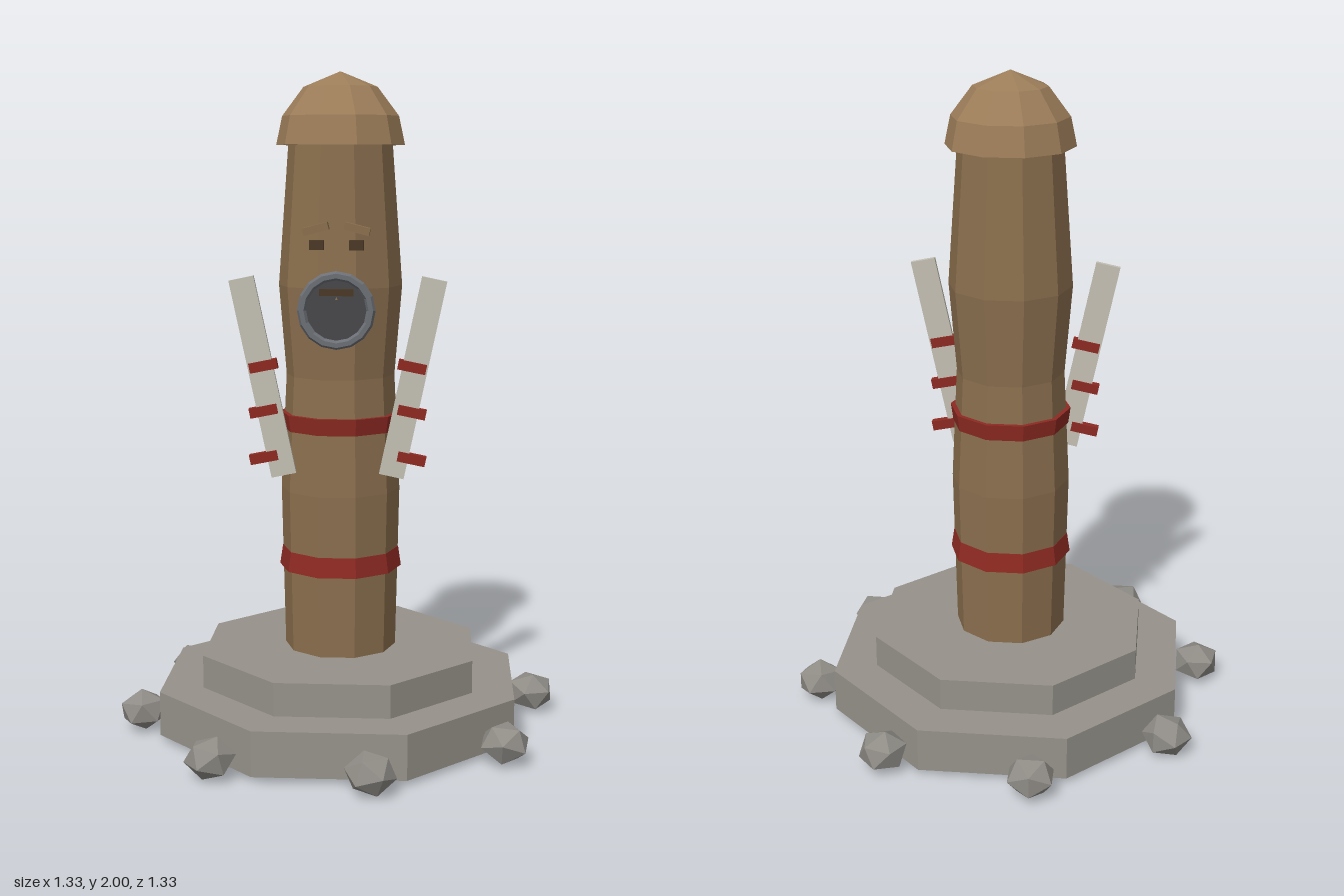
import * as THREE from 'three';

const mat = (color) => new THREE.MeshStandardMaterial({ color, flatShading: true });
const wood = mat(0x8b6f4e), capWood = mat(0x9c7d59), darkWood = mat(0x4a3826);
const stone = mat(0x96928a), rock = mat(0x8f8c86), red = mat(0x8e2a22);
const plankWhite = mat(0xc4c0b4), metal = mat(0x6c7076), darkMetal = mat(0x48484a);

const TURN = Math.PI / 10; // puts a flat side of the ten-sided post at the front

function add(parent, name, geometry, material, x = 0, y = 0, z = 0) {
  const mesh = new THREE.Mesh(geometry, material);
  mesh.name = name;
  mesh.position.set(x, y, z);
  parent.add(mesh);
  return mesh;
}

// Ten-sided solid turned from [radius, height] pairs, bottom to top
const turned = (profile) =>
  new THREE.LatheGeometry(profile.map(([r, y]) => new THREE.Vector2(r, y)), 10, TURN);

export function createModel() {
  const model = new THREE.Group();
  model.name = 'totemPost';

  // Post and octagonal steps share one axis
  const body = new THREE.Group();
  body.name = 'body';
  body.position.z = -0.012;
  model.add(body);

  const step = (name, apothem, y0, y1) => {
    const r = apothem / Math.cos(Math.PI / 8);
    const g = new THREE.CylinderGeometry(r, r, y1 - y0, 8);
    add(body, name, g, stone, 0, (y0 + y1) / 2).rotation.y = Math.PI / 8;
  };
  step('lowerStep', 0.532, 0.02, 0.155);
  step('upperStep', 0.407, 0.155, 0.255);

  add(body, 'trunk', turned([
    [0.17, 0.25], [0.176, 0.52], [0.181, 0.75], [0.164, 1.1], [0.186, 1.37], [0.155, 1.8],
  ]), wood);
  add(body, 'cap', turned([
    [0, 1.785], [0.192, 1.785], [0.174, 1.87], [0.11, 1.955], [0, 2],
  ]), capWood);

  // Cloth bands
  add(body, 'lowerBand', turned([[0.165, 0.505], [0.187, 0.505], [0.178, 0.565], [0.165, 0.565]]), red);
  add(body, 'upperBand', turned([[0.155, 0.935], [0.177, 0.935], [0.184, 0.985], [0.155, 0.985]]), red);

  // Face
  const face = new THREE.Group();
  face.name = 'face';
  model.add(face);
  for (const side of [-1, 1]) {
    add(face, 'brow', new THREE.BoxGeometry(0.075, 0.022, 0.045), wood, side * 0.06, 1.545, 0.17)
      .rotation.z = -side * 0.25;
    add(face, 'eye', new THREE.BoxGeometry(0.042, 0.028, 0.032), darkWood, side * 0.058, 1.498, 0.167);
  }
  const nose = add(face, 'nose', new THREE.ConeGeometry(0.055, 0.15, 4), wood, 0, 1.415, 0.145);
  nose.scale.z = 0.7;
  add(face, 'mouthDisc', new THREE.CylinderGeometry(0.1, 0.1, 0.03, 16), darkMetal, 0, 1.31, 0.166)
    .rotation.x = Math.PI / 2;
  add(face, 'mouthRing', new THREE.TorusGeometry(0.101, 0.0135, 6, 16), metal, 0, 1.31, 0.187);
  add(face, 'mouth', new THREE.BoxGeometry(0.1, 0.02, 0.03), darkWood, 0, 1.362, 0.174);

  // Leaning planks with straps, one on each side
  for (const side of [-1, 1]) {
    const arm = new THREE.Group();
    arm.name = side > 0 ? 'leftPlank' : 'rightPlank';
    model.add(arm);
    add(arm, 'plank', new THREE.BoxGeometry(0.075, 0.6, 0.015), plankWhite, side * 0.222, 1.105, 0.127)
      .rotation.z = -side * 0.208;
    for (const y of [1.14, 1.005, 0.865]) {
      add(arm, 'strap', new THREE.BoxGeometry(0.084, 0.03, 0.025), red, side * 0.22, y, 0.127)
        .rotation.z = -side * 0.2;
    }
  }

  // Loose rocks around the base
  const spots = [
    [-0.12, -0.61], [0.33, -0.52], [0.6, -0.135], [0.5, 0.33],
    [0.12, 0.585], [-0.34, 0.5], [-0.6, 0.11], [-0.51, -0.35],
  ];
  spots.forEach(([x, z], i) => {
    const g = new THREE.IcosahedronGeometry(0.076, 0);
    g.rotateX(i * 0.9).rotateY(i * 1.7).scale(1, 0.82, 1);
    add(model, 'rock', g, rock, x, 0.066, z);
  });

  return model;
}
